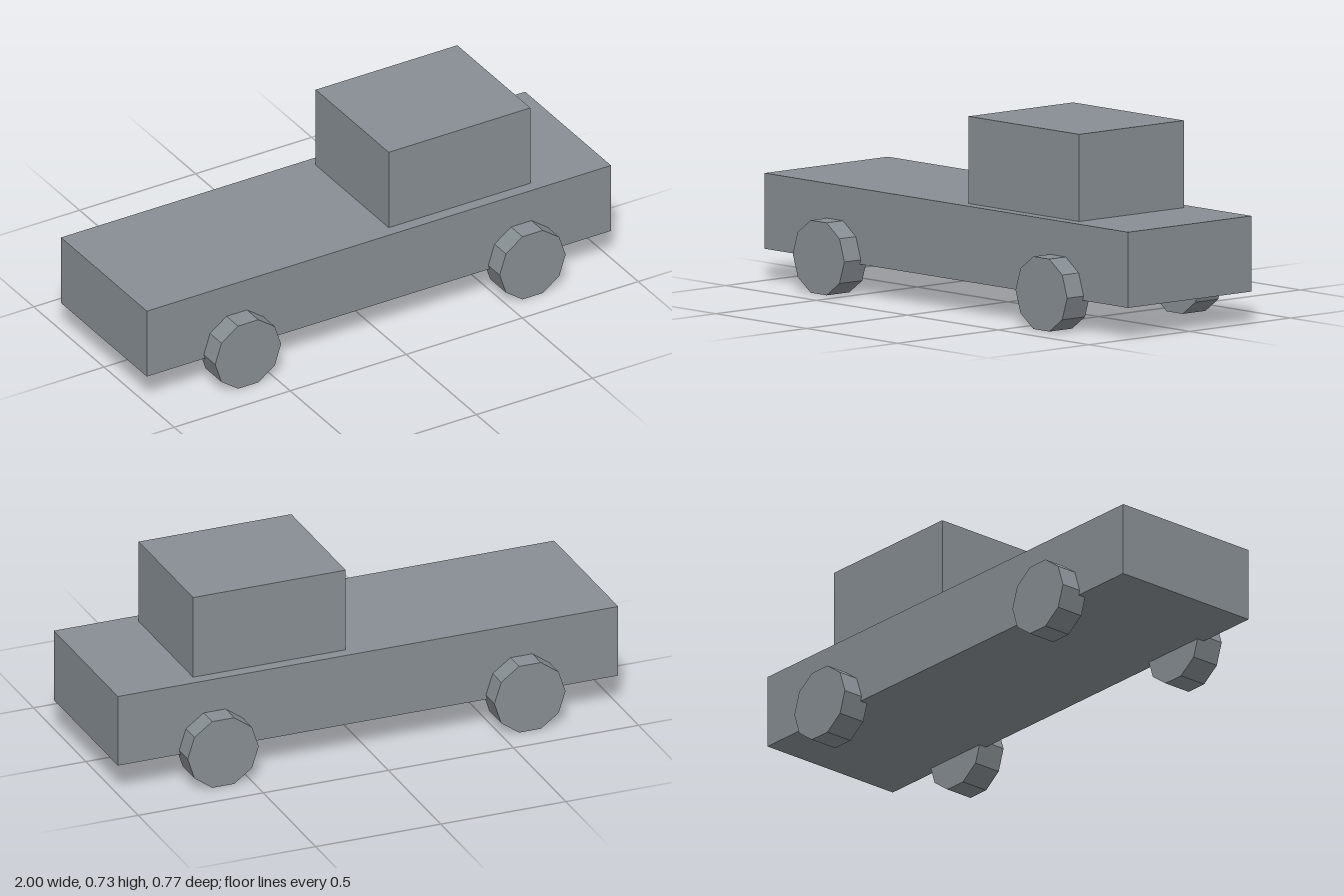
import * as THREE from 'three';

export function createModel() {
  const model = new THREE.Group();
  model.name = 'pickupTruck';

  const grey = new THREE.MeshStandardMaterial({ color: 0x878e93 });
  grey.name = 'slate grey';
  grey.flatShading = true;

  const add = (name, geometry, x, y, z) => {
    const mesh = new THREE.Mesh(geometry, grey);
    mesh.name = name;
    mesh.position.set(x, y, z);
    model.add(mesh);
  };

  // Long slab body with the cab towards +x
  add('body', new THREE.BoxGeometry(2, 0.282, 0.612), 0, 0.259, 0);
  add('cab', new THREE.BoxGeometry(0.61, 0.325, 0.52), 0.375, 0.5625, 0);

  // Ten-sided wheels, with a flat at the top and bottom
  const wheel = new THREE.CylinderGeometry(0.142, 0.142, 0.113, 10, 1, false, Math.PI / 2);
  wheel.rotateX(Math.PI / 2);
  for (const [end, x] of [['rear', -0.613], ['front', 0.613]]) {
    for (const [side, z] of [['Near', 0.331], ['Far', -0.331]]) {
      add(`${end}Wheel${side}`, wheel, x, 0.135, z);
    }
  }

  return model;
}
